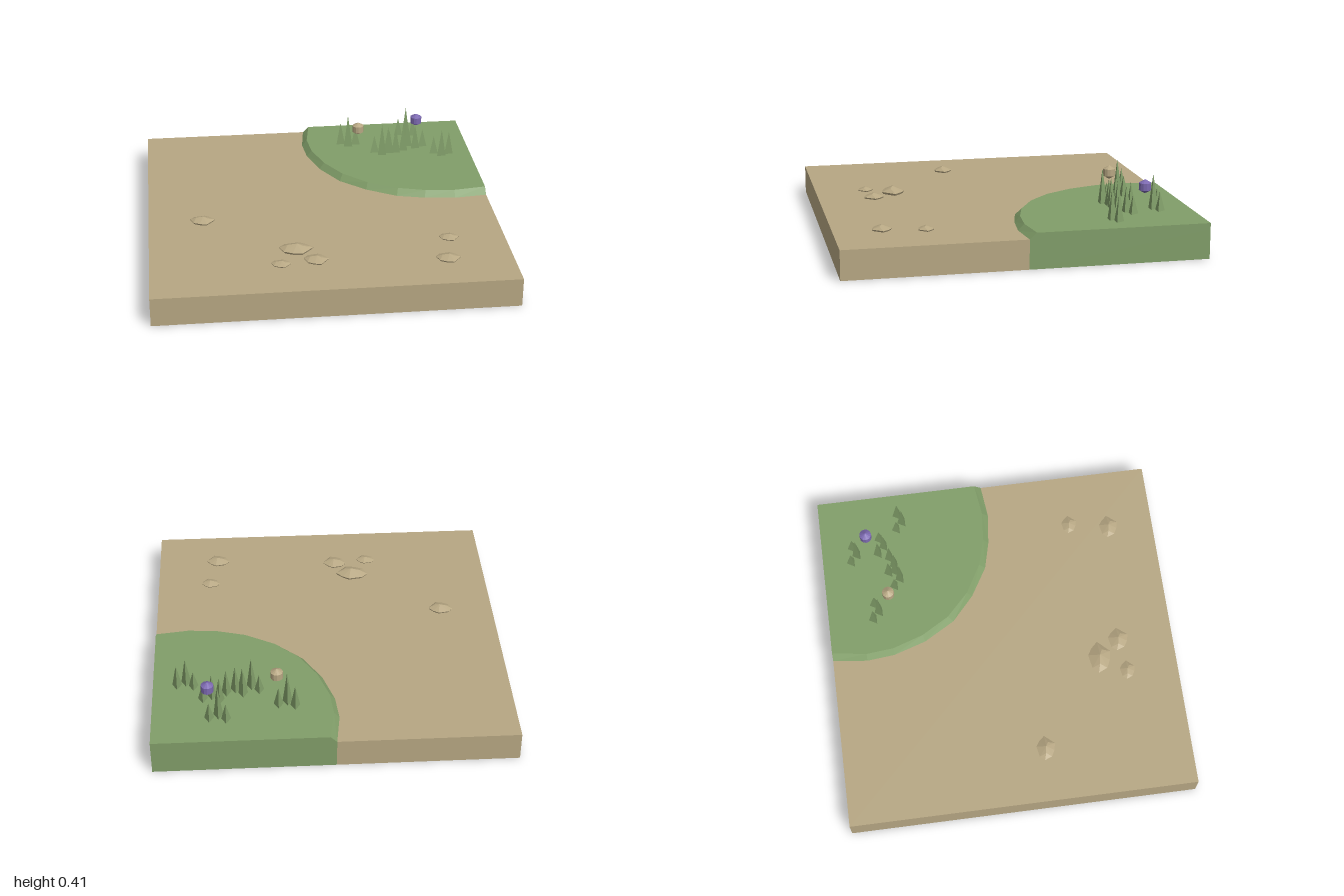
import * as THREE from 'three';
import { ConvexGeometry } from 'three/addons/geometries/ConvexGeometry.js';

const SAND_Y = 0.165, GRASS_Y = 0.2;

// Closed, flat-faceted solid from stacked [outline, y] rings; outlines run anticlockwise from above.
function loft(rings) {
  const pos = [];
  const put = (p, y) => pos.push(p[0], y, p[1]);
  for (let r = 0; r < rings.length - 1; r++) {
    const [low, y0] = rings[r], [high, y1] = rings[r + 1];
    low.forEach((a, i) => {
      const j = (i + 1) % low.length;
      put(a, y0); put(low[j], y0); put(high[j], y1);
      put(a, y0); put(high[j], y1); put(high[i], y1);
    });
  }
  const cap = ([pts, y], up) => {
    const flat = pts.map(([x, z]) => new THREE.Vector2(x, -z));
    for (const [a, b, c] of THREE.ShapeUtils.triangulateShape(flat, [])) {
      (up ? [a, b, c] : [a, c, b]).forEach((k) => put(pts[k], y));
    }
  };
  cap(rings[0], false);
  cap(rings[rings.length - 1], true);
  const geo = new THREE.BufferGeometry();
  geo.setAttribute('position', new THREE.Float32BufferAttribute(pos, 3));
  geo.computeVertexNormals();
  return geo;
}

function faceted(geo) {
  const flat = geo.toNonIndexed();
  flat.computeVertexNormals();
  return flat;
}

export function createModel() {
  const model = new THREE.Group();
  model.name = 'terrainTile';
  const sand = new THREE.MeshStandardMaterial({ color: 0xb7a783 });
  const grass = new THREE.MeshStandardMaterial({ color: 0x819e69 });
  const purple = new THREE.MeshStandardMaterial({ color: 0x7c69b0 });
  sand.name = 'sand';
  grass.name = 'grass';
  purple.name = 'purple';

  const add = (name, geo, mat, x = 0, y = 0, z = 0) => {
    const mesh = new THREE.Mesh(geo, mat);
    mesh.name = name;
    mesh.position.set(x, y, z);
    model.add(mesh);
    return mesh;
  };

  // Curved edge of the grass: foot and top of its bevel
  const foot = [[0, -1], [-0.025, -0.8], [-0.01, -0.64], [0.05, -0.45], [0.155, -0.27],
    [0.3, -0.14], [0.47, -0.04], [0.63, 0], [0.81, 0.02], [1, 0]];
  const rim = [[0.035, -1], [0.005, -0.8], [0.02, -0.64], [0.08, -0.46], [0.175, -0.3],
    [0.31, -0.17], [0.48, -0.075], [0.64, -0.03], [0.81, -0.015], [1, -0.04]];
  const corner = [1, -1];

  const sandOutline = [[-1, -1], [-1, 1], [1, 1], ...[...foot].reverse()];
  add('sandBase', loft([[sandOutline, 0], [sandOutline, SAND_Y]]), sand);
  const footRing = [...foot, corner];
  add('grassMound', loft([[footRing, 0], [footRing, SAND_Y], [[...rim, corner], GRASS_Y]]), grass);

  // Tufts of three blades: x, z, then heights of left, middle and right blades
  const tufts = [
    [0.255, -0.695, 0.14, 0.205, 0.12],
    [0.45, -0.55, 0.11, 0.2, 0.15],
    [0.54, -0.575, 0.15, 0.165, 0.16],
    [0.67, -0.625, 0.16, 0.15, 0.11],
    [0.635, -0.79, 0.11, 0.2, 0.11],
    [0.815, -0.5, 0.11, 0.17, 0.145],
  ];
  const offsets = [[-0.042, -0.038], [0, 0], [0.05, -0.024]];
  const blade = faceted(new THREE.ConeGeometry(0.031, 1, 3).rotateY(Math.PI).translate(0, 0.5, 0));
  for (const [x, z, ...heights] of tufts) {
    heights.forEach((h, i) => {
      add('grassBlade', blade, grass, x + offsets[i][0], GRASS_Y, z + offsets[i][1]).scale.y = h;
    });
  }

  // Round buds
  const bud = faceted(new THREE.SphereGeometry(0.04, 12, 3));
  add('sandBud', bud, sand, 0.31, 0.345, -0.63);
  add('purpleBud', bud, purple, 0.69, 0.345, -0.725);

  // Low stones: a unit boulder, scaled per stone
  const outline = [[-1, -0.3], [-0.65, -0.8], [0.2, -1], [0.6, -0.65], [1, -0.05],
    [0.3, 1], [-0.25, 0.85], [-0.75, 0.5]];
  const points = [new THREE.Vector3(0.05, 1, 0)];
  for (const [x, z] of outline) {
    points.push(new THREE.Vector3(x * 0.88, 0, z * 0.88), new THREE.Vector3(x, 0.35, z));
  }
  points.push(new THREE.Vector3(-0.5, 0.8, -0.1), new THREE.Vector3(0.4, 0.8, 0.25));
  const stone = new ConvexGeometry(points);
  const stones = [
    [-0.69, 0.165, 0.072, 0.036, 0.054],
    [-0.185, 0.555, 0.096, 0.045, 0.066],
    [-0.28, 0.705, 0.057, 0.025, 0.044],
    [-0.085, 0.68, 0.07, 0.033, 0.059],
    [0.685, 0.5, 0.057, 0.027, 0.045],
    [0.64, 0.735, 0.07, 0.033, 0.055],
  ];
  for (const [x, z, sx, sy, sz] of stones) {
    add('stone', stone, sand, x, SAND_Y - 0.003, z).scale.set(sx, sy, sz);
  }
  return model;
}
